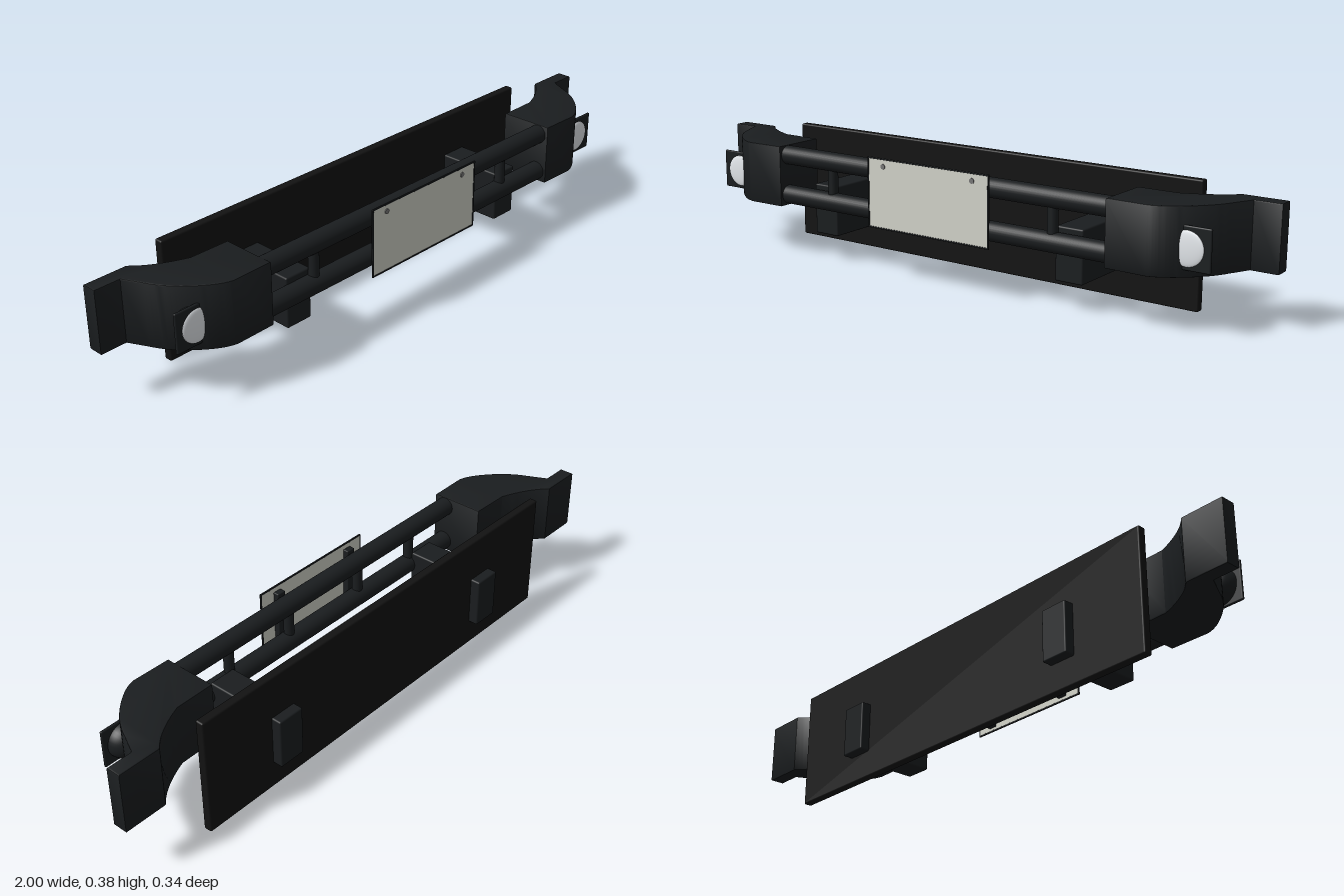
import * as THREE from 'three';
import { toCreasedNormals } from 'three/addons/utils/BufferGeometryUtils.js';
import { RoundedBoxGeometry } from 'three/addons/geometries/RoundedBoxGeometry.js';

const mat = (color) => new THREE.MeshStandardMaterial({ color });

export function createModel() {
  const root = new THREE.Group();
  const black = mat(0x1a1d1f), sheet = mat(0x121212), white = mat(0xe4e8ec), pale = mat(0xd2d3c9);

  const add = (name, geometry, material, x, y, z) => {
    const mesh = new THREE.Mesh(geometry, material);
    mesh.name = name;
    mesh.position.set(x, y, z);
    root.add(mesh);
    return mesh;
  };
  const box = (name, w, h, d, material, x, y, z, r = 0.003) =>
    add(name, new RoundedBoxGeometry(w, h, d, 2, r), material, x, y, z);

  // Tall mounting sheet at the back
  box('backPanel', 1.49, 0.38, 0.027, sheet, 0, 0.19, -0.123, 0.005);

  // Two horizontal tubes
  for (const [name, y] of [['upperTube', 0.328], ['lowerTube', 0.2]]) {
    const tube = new THREE.CylinderGeometry(0.03, 0.03, 1.24, 32);
    tube.rotateZ(Math.PI / 2);
    add(name, tube, black, 0, y, 0.118);
  }

  // Posts between the tubes
  for (const x of [-0.405, -0.155, 0.405, 0.155])
    add('tubePost', new THREE.CylinderGeometry(0.016, 0.016, 0.13, 20), black, x, 0.264, 0.118);

  // Swept end piece, outlined from above (x, z) and extruded upwards
  const cornerGeometry = (s) => {
    const p = (x, z) => [s * x, -z];
    const shape = new THREE.Shape();
    shape.moveTo(...p(0.598, -0.012));
    shape.lineTo(...p(0.598, 0.152));
    shape.lineTo(...p(0.72, 0.154));
    shape.quadraticCurveTo(...p(0.755, 0.148), ...p(0.8, 0.11));
    shape.quadraticCurveTo(...p(0.86, 0.06), ...p(0.885, 0.0));
    shape.lineTo(...p(0.916, -0.063));
    shape.lineTo(...p(0.996, -0.063));
    shape.lineTo(...p(0.996, -0.101));
    shape.lineTo(...p(0.866, -0.101));
    shape.quadraticCurveTo(...p(0.82, -0.05), ...p(0.722, -0.014));
    const g = new THREE.ExtrudeGeometry(shape, {
      depth: 0.187, curveSegments: 10, bevelEnabled: true,
      bevelSize: 0.004, bevelThickness: 0.004, bevelSegments: 2,
    });
    g.rotateX(-Math.PI / 2);
    return toCreasedNormals(g, 0.5);
  };

  for (const s of [-1, 1]) {
    const side = s > 0 ? 'left' : 'right';
    add(side + 'Corner', cornerGeometry(s), black, 0, 0.169, 0);

    // Chassis bracket passing through the back panel
    box(side + 'Bracket', 0.09, 0.16, 0.271, black, s * 0.45, 0.165, -0.0325, 0.005);

    // Fog lamp: square bezel, domed shell behind, lens in front
    box(side + 'LampBezel', 0.12, 0.122, 0.009, black, s * 0.825, 0.248, 0.108, 0.004);
    const shell = new THREE.SphereGeometry(0.055, 32, 16, 0, Math.PI * 2, 0, Math.PI / 2);
    shell.rotateX(-Math.PI / 2);
    add(side + 'LampShell', shell, black, s * 0.815, 0.247, 0.104);
    const lens = new THREE.SphereGeometry(0.05, 32, 12, 0, Math.PI * 2, 0, Math.PI / 2);
    lens.rotateX(Math.PI / 2);
    lens.scale(1, 1, 0.14);
    add(side + 'LampLens', lens, white, s * 0.815, 0.247, 0.1125);

    // Plate spacer and screw
    box('plateSpacer', 0.03, 0.19, 0.02, black, s * 0.155, 0.264, 0.153);
    const screw = new THREE.CylinderGeometry(0.008, 0.008, 0.003, 16);
    screw.rotateX(Math.PI / 2);
    add('plateScrew', screw, mat(0x777777), s * 0.163, 0.351, 0.1675);
    box('plateFrameSide', 0.005, 0.218, 0.005, black, s * 0.2195, 0.267, 0.1655, 0.001);
  }

  // Blank front plate with a thin dark edge
  add('frontPlate', new THREE.BoxGeometry(0.438, 0.214, 0.003), pale, 0, 0.267, 0.165);
  for (const y of [0.1605, 0.3735])
    box('plateFrameRail', 0.444, 0.005, 0.005, black, 0, y, 0.1655, 0.001);

  return root;
}
